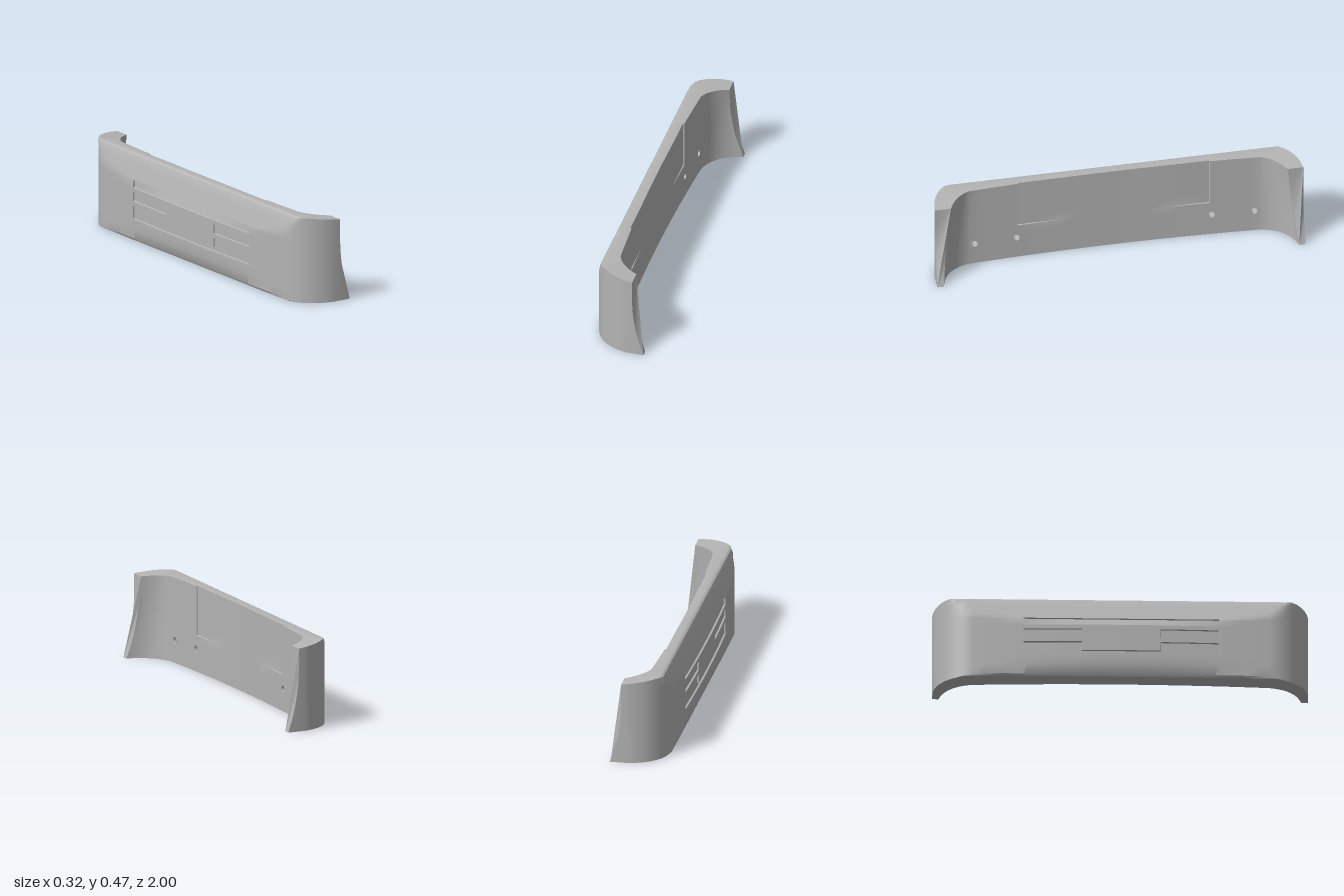
import * as THREE from 'three';
import { toCreasedNormals } from 'three/addons/utils/BufferGeometryUtils.js';

const EPS = 0.001;
const HOLE_Y = 0.122, HOLE_R = 0.018, HOLE_PAD = 0.03, HOLE_Z = [0.53, 0.76];
const FLAT_END = 0.79; // where the straight span meets the rounded corner

// Side profile of the outer face (x, y), bottom to top
const PROFILE = [[-0.125, 0], [-0.138, 0.004], [-0.145, 0.015], [-0.16, 0.07],
  [-0.16, 0.3], [-0.115, 0.447], [-0.107, 0.464], [-0.099, 0.47], [-0.09, 0.472]];

// Grille slots: z from, z to, y from, y to (mirrored in z)
const SLOTS = [[0.21, 0.52, 0.127, 0.2], [0.21, 0.52, 0.225, 0.275],
  [0, 0.52, 0.3, 0.34], [0, 0.22, 0.127, 0.15]];

const pair = v => [v - EPS, v + EPS];
const topY = x => 0.472 - Math.max(0, x + 0.09) * 0.107;
const archX = y => 0.097 + 0.063 * Math.max(0, 1 - y / 0.36) ** 2;
const mix = THREE.MathUtils.lerp;

function profileX(y) {
  for (let i = 1; i < PROFILE.length; i++) {
    const [x0, y0] = PROFILE[i - 1], [x1, y1] = PROFILE[i];
    if (y <= y1) return mix(x0, x1, (y - y0) / (y1 - y0));
  }
  return -0.09;
}

const OUTER_Y = [...PROFILE.map(p => p[1]).filter(y => y !== 0.3),
  ...[0.127, 0.15, 0.2, 0.225, 0.275, 0.3, 0.34].flatMap(pair), 0.36, 0.39, 0.42]
  .sort((a, b) => a - b);
const INNER_Y = [1, 0.4, 0.35, 0.3, 0.25, 0.2 + EPS, 0.2 - EPS,
  HOLE_Y + HOLE_PAD, HOLE_Y - HOLE_PAD, 0.045, 0]; // 1 stands for the top edge

const inSlot = (z, y) => SLOTS.some(([z0, z1, y0, y1]) =>
  Math.abs(z) >= z0 && Math.abs(z) <= z1 && y >= y0 && y <= y1);
const innerX = z => -0.05 + 0.025 * (z / FLAT_END) ** 2;

// Closed cross-section in the straight span
function flatSection(z) {
  const planX = -0.16 + 0.02 * (z / 0.78) ** 2;
  const loop = OUTER_Y.map(y => [
    Math.max(planX, profileX(y)) + (inSlot(z, y) ? 0.01 : 0), y, z]);
  for (const row of INNER_Y) {
    const y = Math.min(row, topY(innerX(z)));
    const cut = y > 0.2 && Math.abs(z) < 0.52; // flat mounting recess
    loop.push([cut ? Math.min(innerX(z), -0.047) : innerX(z), y, z]);
  }
  return loop;
}

// Closed cross-section around the corner; t = 1 is the wheel arch end
function cornerSection(t, side) {
  const a = t * Math.PI / 2;
  const loop = OUTER_Y.map(row => {
    const base = 0.1 - 0.24 * Math.cos(a);
    const z = 0.78 + 0.22 * Math.sin(a);
    const x = t === 1 ? archX(row) : Math.max(base, profileX(row));
    return [x, row * topY(x) / 0.472, z * side];
  });
  for (const row of INNER_Y) {
    const bez = (p, q, r) => (1 - t) ** 2 * p + 2 * t * (1 - t) * q + t * t * r;
    const y0 = Math.min(row, 0.46), f = y0 / 0.452;
    const x = bez(-0.025, 0, archX(y0));
    const z = bez(FLAT_END, mix(0.93, 0.87, f), mix(0.965, 0.915, f));
    loop.push([x, Math.min(row, topY(x)), z * side]);
  }
  return loop;
}

function bumperShell() {
  const half = [0.1, 0.3, 0.4, 0.65, ...pair(0.21), ...pair(0.52),
    ...HOLE_Z.flatMap(z => [z - HOLE_PAD, z + HOLE_PAD])]
    .filter(z => Math.abs(z - 0.5) > EPS).concat(0.5).sort((a, b) => a - b);
  // the mounting recess edge at 0.52 stays inside the 0.50 to 0.56 hole patch
  const zs = [...half.map(z => -z).reverse(), 0, ...half];
  const sections = zs.map(flatSection);
  const steps = 10;
  for (let k = 1; k <= steps; k++) {
    sections.push(cornerSection(k / steps, 1));
    sections.unshift(cornerSection(k / steps, -1));
  }
  const n = sections[0].length, index = [];
  const holeRow = OUTER_Y.length + INNER_Y.indexOf(HOLE_Y + HOLE_PAD);
  for (let j = 0; j < sections.length - 1; j++) {
    const zMid = Math.abs(sections[j][holeRow][2] + sections[j + 1][holeRow][2]) / 2;
    for (let i = 0; i < n; i++) {
      // leave out the cells that hold the bolt holes
      if (i === holeRow && HOLE_Z.some(h => Math.abs(zMid - h) < HOLE_PAD - EPS / 2)) continue;
      const k = (i + 1) % n, a = j * n + i, b = a + n, c = (j + 1) * n + k, d = j * n + k;
      index.push(a, b, c, a, c, d);
    }
  }
  // Wheel arch end faces
  for (const [j, side] of [[0, -1], [sections.length - 1, 1]]) {
    const outline = sections[j].map(p => new THREE.Vector2(p[2], p[1]));
    for (const tri of THREE.ShapeUtils.triangulateShape(outline, [])) {
      const [p, q, r] = tri.map(i => outline[i]);
      const area = (q.x - p.x) * (r.y - p.y) - (q.y - p.y) * (r.x - p.x);
      const t = area < 0 ? tri : [tri[0], tri[2], tri[1]]; // face towards +x
      index.push(...t.map(i => j * n + i));
    }
  }
  const geo = new THREE.BufferGeometry();
  geo.setAttribute('position', new THREE.Float32BufferAttribute(sections.flat(2), 3));
  geo.setIndex(index);
  return toCreasedNormals(geo, 0.45);
}

// Square wall patch with a round opening, bent to the inner wall
function holePatch(z) {
  const s = HOLE_PAD, shape = new THREE.Shape();
  shape.moveTo(-s, -s).lineTo(s, -s).lineTo(s, s).lineTo(-s, s).closePath();
  shape.holes.push(new THREE.Path().absarc(0, 0, HOLE_R, 0, Math.PI * 2, true));
  const geo = new THREE.ShapeGeometry(shape, 12), pos = geo.attributes.position;
  for (let i = 0; i < pos.count; i++) {
    const pz = z - pos.getX(i);
    pos.setXYZ(i, innerX(pz), HOLE_Y + pos.getY(i), pz);
  }
  geo.computeVertexNormals();
  return geo;
}

export function createModel() {
  const group = new THREE.Group();
  const grey = new THREE.MeshStandardMaterial({ color: 0xb4b4b4, side: THREE.DoubleSide });
  grey.name = 'plain grey';
  const add = (name, geo) => {
    const mesh = new THREE.Mesh(geo, grey);
    mesh.name = name;
    group.add(mesh);
    return mesh;
  };
  add('bumperShell', bumperShell());

  // Bolt holes in the inner wall
  for (const h of HOLE_Z) for (const side of [-1, 1]) {
    const z = h * side, depth = 0.05;
    add('boltHoleRim', holePatch(z));
    const bore = add('boltHoleBore', new THREE.CylinderGeometry(HOLE_R, HOLE_R, depth, 24, 1, true));
    bore.rotation.z = Math.PI / 2;
    bore.position.set(innerX(z) - depth / 2, HOLE_Y, z);
    const floor = add('boltHoleFloor', new THREE.CircleGeometry(HOLE_R, 24));
    floor.rotation.y = Math.PI / 2;
    floor.position.set(innerX(z) - depth, HOLE_Y, z);
  }
  return group;
}
